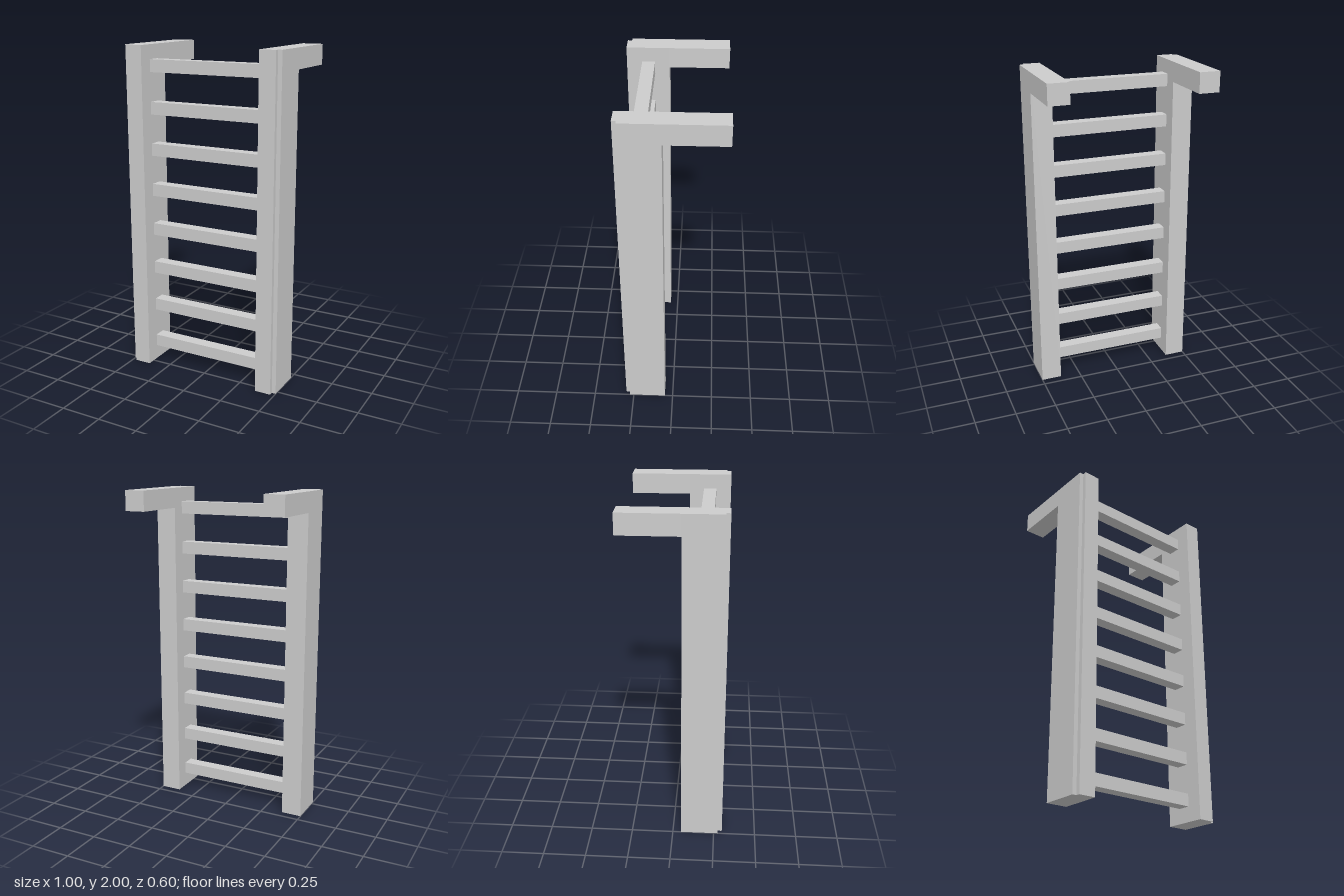
import * as THREE from 'three';

const material = new THREE.MeshStandardMaterial({ color: 0xcccccc, flatShading: true });

const HEIGHT = 2, INNER = 0.375, OUTER = 0.5, FRONT = 0.3, POST_BACK = 0.05;
const NOTCH = 0.025, ARM_HEIGHT = 0.12;
const RUNGS = 8, RUNG_SIZE = 0.075;

function addMesh(parent, name, geometry, x = 0, y = 0, z = 0) {
  const mesh = new THREE.Mesh(geometry, material);
  mesh.name = name;
  mesh.position.set(x, y, z);
  parent.add(mesh);
}

// Upright with a small square rebate along its outer front edge
function postGeometry(side) {
  const outline = [
    [INNER, POST_BACK], [OUTER, POST_BACK], [OUTER, FRONT - NOTCH],
    [OUTER - NOTCH, FRONT - NOTCH], [OUTER - NOTCH, FRONT], [INNER, FRONT],
  ];
  const shape = new THREE.Shape(outline.map(([x, z]) => new THREE.Vector2(side * x, -z)));
  return new THREE.ExtrudeGeometry(shape, { depth: HEIGHT, bevelEnabled: false })
    .rotateX(-Math.PI / 2);
}

export function createModel() {
  const model = new THREE.Group();
  model.name = 'ladder';

  // Uprights with arms reaching back from the top
  const armLength = POST_BACK + FRONT;
  for (const [name, side] of [['left', 1], ['right', -1]]) {
    const rail = new THREE.Group();
    rail.name = `${name}Side`;
    addMesh(rail, `${name}Post`, postGeometry(side));
    addMesh(rail, `${name}TopArm`,
      new THREE.BoxGeometry(OUTER - INNER, ARM_HEIGHT, armLength),
      side * (INNER + OUTER) / 2, HEIGHT - ARM_HEIGHT / 2, POST_BACK - armLength / 2);
    model.add(rail);
  }

  // Evenly spaced square rungs between the uprights
  const rung = new THREE.BoxGeometry(2 * INNER, RUNG_SIZE, RUNG_SIZE);
  for (let i = 0; i < RUNGS; i++) {
    addMesh(model, `rung${i + 1}`, rung, 0, 0.127 + i * 0.25, 0.173);
  }

  return model;
}
